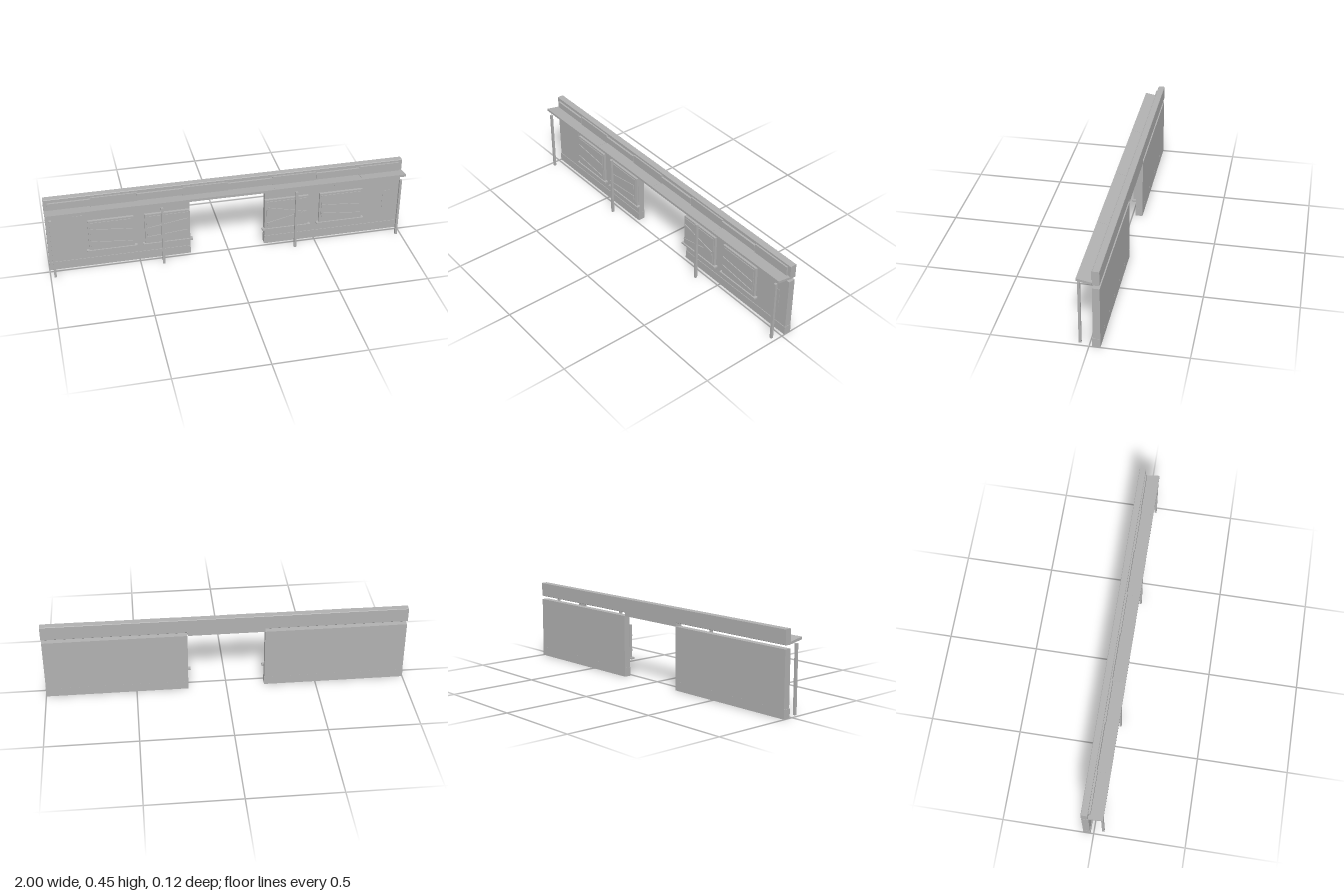
import * as THREE from 'three';

const grey = new THREE.MeshStandardMaterial({ color: 0xb0b0b0 });
grey.name = 'plain grey';

export function createModel() {
  const model = new THREE.Group();
  model.name = 'storefront';

  const add = (name, geometry, parent = model) => {
    const mesh = new THREE.Mesh(geometry, grey);
    mesh.name = name;
    parent.add(mesh);
    return mesh;
  };
  // Box given by its limits on each axis
  const box = (name, x0, x1, y0, y1, z0, z1, parent) => {
    const mesh = add(name, new THREE.BoxGeometry(x1 - x0, y1 - y0, z1 - z0), parent);
    mesh.position.set((x0 + x1) / 2, (y0 + y1) / 2, (z0 + z1) / 2);
    return mesh;
  };

  // Two wall halves with a slightly wider base board, open doorway between
  for (const s of [-1, 1]) {
    const wall = (name, a, b, y0, y1, z0, z1) =>
      box(name, Math.min(s * a, s * b), Math.max(s * a, s * b), y0, y1, z0, z1);
    wall('wall', 0.213, 0.998, 0.05, 0.35, -0.057, -0.0195);
    wall('baseBoard', 0.212, 1, 0, 0.05, -0.0572, -0.0165);
  }
  box('lintel', -0.214, 0.21, 0.35, 0.372, -0.057, -0.017);

  // Thin plaster patches on the walls
  for (const [x0, x1, y0, y1] of [
    [0.61, 0.68, 0.33, 0.368], [-0.85, -0.8, 0.27, 0.33], [0.9, 0.94, 0.15, 0.26],
  ]) box('plasterPatch', x0, x1, y0, y1, -0.0205, -0.0175);

  // Fascia beam with bevelled long edges
  const b = 0.002;
  const profile = new THREE.Shape([
    [0.021 + b, 0.37], [0.057 - b, 0.37], [0.057, 0.37 + b], [0.057, 0.45 - b],
    [0.057 - b, 0.45], [0.021 + b, 0.45], [0.021, 0.45 - b], [0.021, 0.37 + b],
  ].map(([x, y]) => new THREE.Vector2(x, y)));
  const fascia = add('fascia', new THREE.ExtrudeGeometry(profile, { depth: 2, bevelEnabled: false }));
  fascia.rotation.y = Math.PI / 2;
  fascia.position.x = -1;

  // Eight sign boards and eight canopy planks, alternating a little in height
  for (let i = 0; i < 8; i++) {
    const x0 = -1 + i * 0.25, odd = i % 2;
    box('signBoard', Math.max(x0, -0.98), Math.min(x0 + 0.25, 0.98),
      odd ? 0.386 : 0.394, odd ? 0.437 : 0.431, -0.022, odd ? -0.013 : -0.01);

    const lift = odd ? 0.0008 : 0;
    const section = new THREE.Shape([
      [-0.058, 0.385], [0.019, 0.371], [0.021, 0.384], [-0.058, 0.399],
    ].map(([x, y]) => new THREE.Vector2(x, y + lift)));
    const plank = add('canopyPlank', new THREE.ExtrudeGeometry(section, { depth: 0.25, bevelEnabled: false }));
    plank.rotation.y = Math.PI / 2;
    plank.position.x = x0;
  }

  // Canopy posts
  for (const x of [-0.974, -0.375, 0.375, 0.974])
    box('post', x - 0.0065, x + 0.0065, 0, 0.363, 0.043, 0.056);

  // Boarded windows: centre x, then [height, tilt in degrees] of each board
  const windows = [
    [-0.65, [0.225, -6], [0.146, -6]],
    [-0.34, [0.22, 9], [0.155, 5]],
    [0.335, [0.214, -13], [0.166, 13]],
    [0.65, [0.207, -5], [0.15, -6]],
  ];
  for (const [x, ...boards] of windows) {
    const win = new THREE.Group();
    win.name = 'window';
    win.position.x = x;
    model.add(win);
    box('windowFrame', -0.125, 0.125, 0.108, 0.295, -0.02, -0.005, win);
    box('windowPanel', -0.115, 0.115, 0.118, 0.284, -0.006, -0.002, win);
    box('windowSill', -0.139, 0.139, 0.098, 0.108, -0.02, 0.002, win);
    boards.forEach(([y, tilt], i) => {
      const z = i * 0.001;
      const board = box('windowBoard', -0.114, 0.114, y - 0.0125, y + 0.0125, 0.003 + z, 0.007 + z, win);
      board.rotation.z = THREE.MathUtils.degToRad(tilt);
    });
  }
  return model;
}
